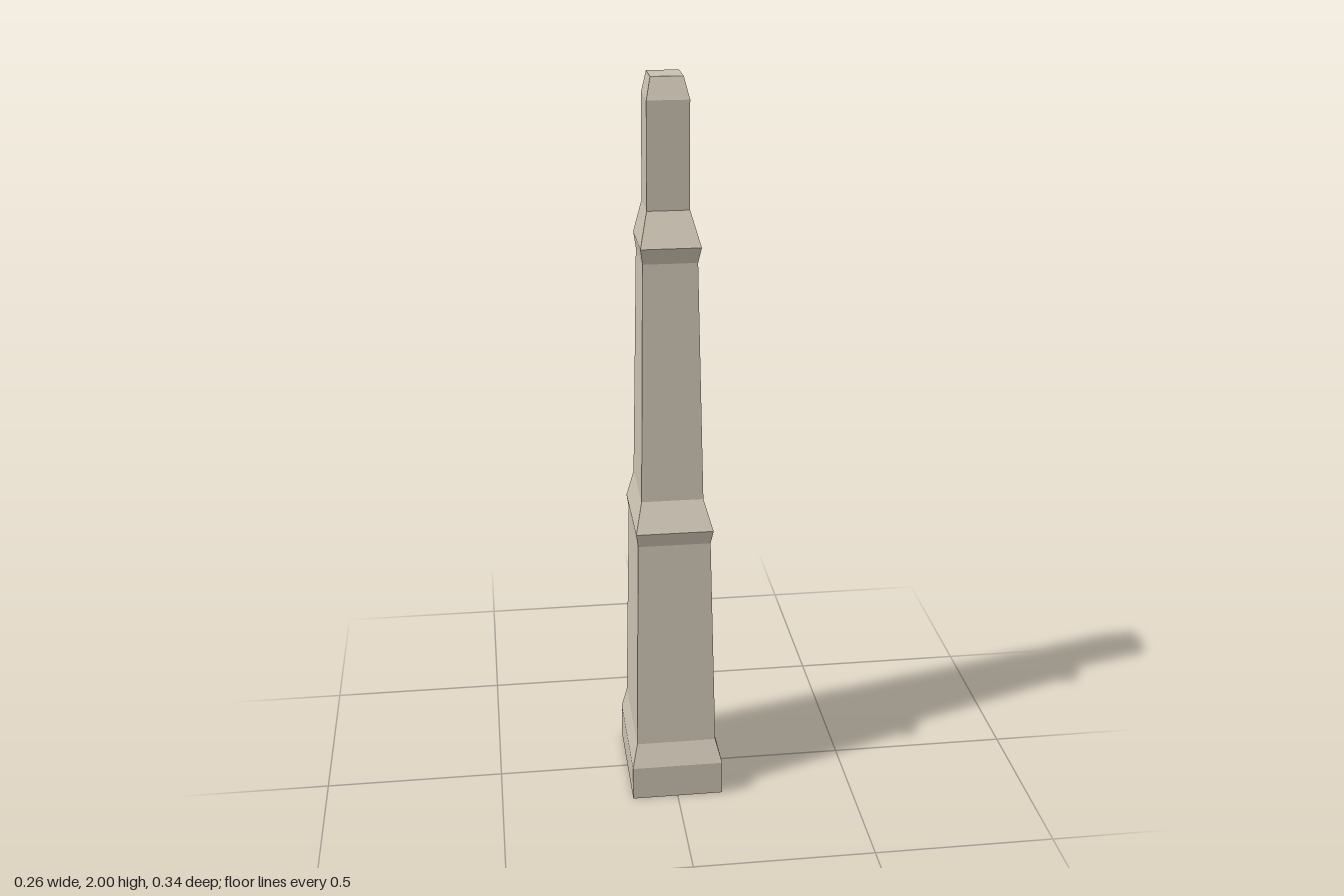
import * as THREE from 'three';

const BACK = -0.17; // flat back plane shared by every tier

// Lofts rectangular sections [y, halfWidth, frontZ] into flat faces, with optional end caps.
function loft(sections, capBottom, capTop) {
  const rings = sections.map(([y, w, f]) => [[-w, y, f], [w, y, f], [w, y, BACK], [-w, y, BACK]]);
  const pos = [];
  const quad = (a, b, c, d) => pos.push(...a, ...b, ...c, ...a, ...c, ...d);
  for (let i = 0; i < rings.length - 1; i++) {
    const lo = rings[i], hi = rings[i + 1];
    for (let k = 0; k < 4; k++) {
      const n = (k + 1) % 4;
      quad(lo[k], lo[n], hi[n], hi[k]);
    }
  }
  if (capBottom) quad(...[...rings[0]].reverse());
  if (capTop) quad(...rings[rings.length - 1]);
  const geo = new THREE.BufferGeometry();
  geo.setAttribute('position', new THREE.Float32BufferAttribute(pos, 3));
  geo.computeVertexNormals();
  return geo;
}

export function createModel() {
  const group = new THREE.Group();
  group.name = 'buttress';
  const stone = new THREE.MeshStandardMaterial({ color: 0xc8bfae });
  stone.name = 'paleStone';

  // Section levels from the ground up
  const plinthFoot = [0, 0.128, 0.17];
  const plinthEdge = [0.1, 0.128, 0.17];
  const lowerFoot = [0.16, 0.112, 0.137];
  const lowerHead = [0.76, 0.1, 0.088];
  const lowerLip = [0.802, 0.106, 0.101];
  const upperFoot = [0.875, 0.085, 0.046];
  const upperHead = [1.53, 0.073, -0.003];
  const upperLip = [1.575, 0.08, 0.015];
  const pierFoot = [1.66, 0.057, -0.046];
  const pierHead = [1.945, 0.056, -0.046];
  const capTop = [2, 0.043, -0.075];

  const parts = [
    ['plinth', [plinthFoot, plinthEdge, lowerFoot], true, false],
    ['lowerShaft', [lowerFoot, lowerHead], false, false],
    ['lowerMoulding', [lowerHead, lowerLip, upperFoot], false, false],
    ['upperShaft', [upperFoot, upperHead], false, false],
    ['upperMoulding', [upperHead, upperLip, pierFoot], false, false],
    ['topPier', [pierFoot, pierHead], false, false],
    ['bevelledCap', [pierHead, capTop], false, true],
  ];
  for (const [name, sections, bottom, top] of parts) {
    const mesh = new THREE.Mesh(loft(sections, bottom, top), stone);
    mesh.name = name;
    group.add(mesh);
  }
  return group;
}
